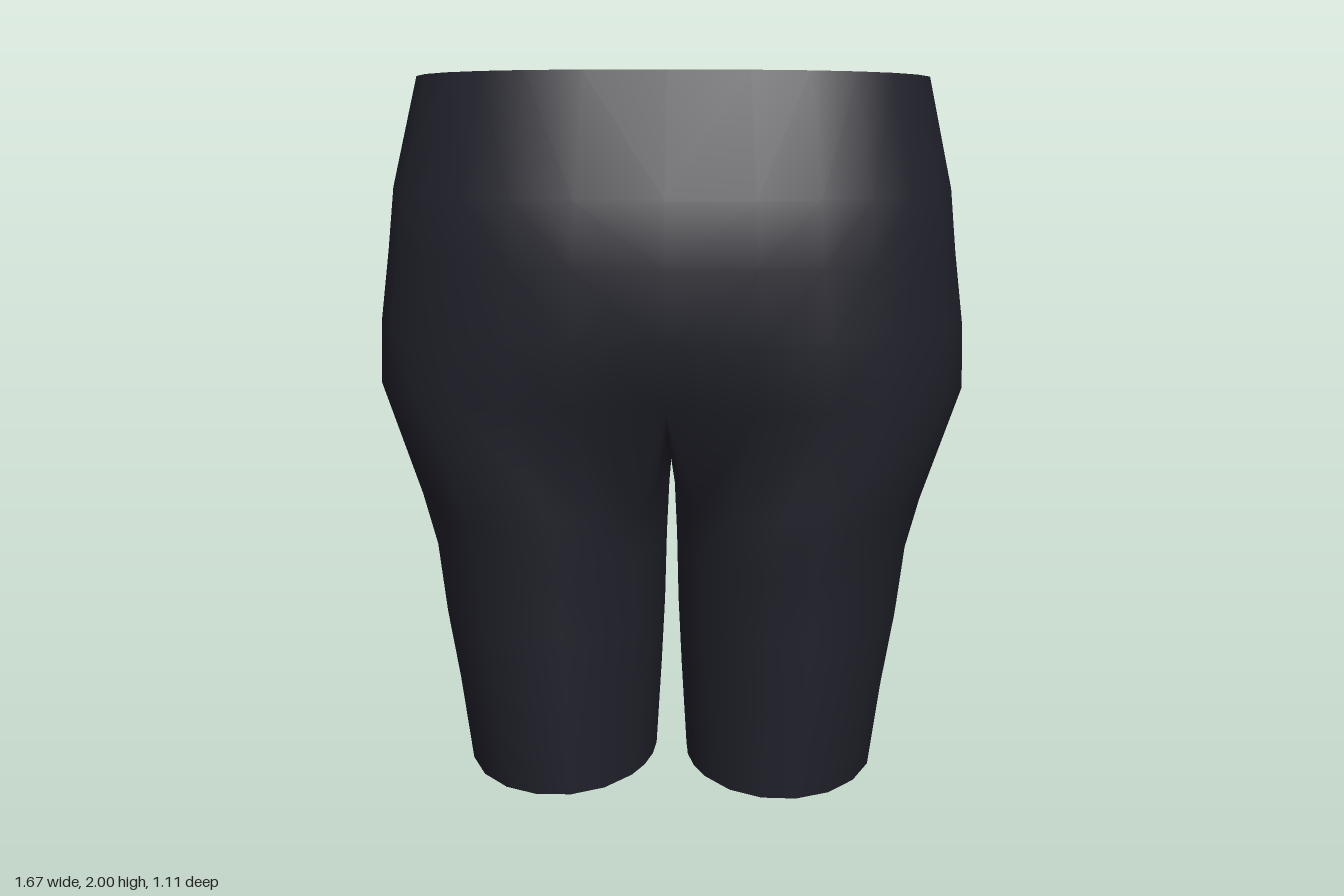
import * as THREE from 'three';
import { mergeVertices } from 'three/addons/utils/BufferGeometryUtils.js';

const ARC = 14, INNER = 6; // segments on the outer arc and on the inner thigh
const spow = (v, p) => Math.sign(v) * Math.pow(Math.abs(v), p);

// Half ring of the hips, from front centre round the side to back centre,
// with a soft groove down the middle of the front and back
function hipArc({ y, w, zf, zb, n, tilt = 0, dip = 0.01, groove = 0 }) {
  const pts = [], zc = (zf + zb) / 2, d = (zf - zb) / 2;
  for (let i = 0; i <= ARC; i++) {
    const t = Math.PI * i / ARC, p = 2 / (i < ARC / 2 ? 2.5 : n);
    const x = (i === 0 || i === ARC) ? 0 : w * spow(Math.sin(t), p);
    const fade = Math.exp(-((x / 0.16) ** 2));
    const z = zc + d * spow(Math.cos(t), p) + fade * (i < ARC / 2 ? -dip : groove);
    pts.push([x, y + tilt * z, z]);
  }
  return pts;
}

// Closed oval ring of one leg, starting at its inner front corner
function legRing({ y, xi, xo, zf, zb }) {
  const pts = [], cx = (xi + xo) / 2, rx = (xo - xi) / 2, zc = (zf + zb) / 2, d = (zf - zb) / 2;
  const a0 = -0.9, a1 = Math.PI + 0.9, a2 = 2 * Math.PI - 0.9;
  for (let i = 0; i < ARC + INNER; i++) {
    const a = i <= ARC ? a0 + (a1 - a0) * i / ARC : a1 + (a2 - a1) * (i - ARC) / INNER;
    pts.push([cx + rx * Math.sin(a), y, zc + d * Math.cos(a)]);
  }
  return pts;
}

export function createModel() {
  const cloth = new THREE.MeshStandardMaterial({ color: 0x20202a, side: THREE.DoubleSide });
  cloth.name = 'darkCloth';
  const group = new THREE.Group();
  group.name = 'shorts';

  const hips = [
    { y: 1.12, w: 0.835, zf: 0.565, zb: -0.495, n: 2.8, dip: 0.07, groove: 0.1 },
    { y: 1.3, w: 0.83, zf: 0.565, zb: -0.51, n: 2.7, dip: 0.015, groove: 0.06 },
    { y: 1.5, w: 0.805, zf: 0.56, zb: -0.525, n: 2.4, groove: 0.025 },
    { y: 1.67, w: 0.79, zf: 0.535, zb: -0.54, n: 2.2 },
    { y: 1.966, w: 0.73, zf: 0.415, zb: -0.56, n: 2.05, tilt: 0.082 },
  ].map(hipArc);
  const legs = [
    { y: 0, xi: 0.045, xo: 0.595, zf: 0.48, zb: -0.29 },
    { y: 0.25, xi: 0.03, xo: 0.63, zf: 0.487, zb: -0.32 },
    { y: 0.45, xi: 0.02, xo: 0.665, zf: 0.49, zb: -0.345 },
    { y: 0.65, xi: 0.015, xo: 0.69, zf: 0.492, zb: -0.37 },
    { y: 0.8, xi: 0.008, xo: 0.73, zf: 0.51, zb: -0.4 },
  ].map(legRing);

  // Top leg ring: the lowest hip arc closed by the crotch arch on the centre line
  const join = hips[0].slice();
  const front = join[0][2], back = join[ARC][2];
  for (let k = 1; k < INNER; k++) {
    const s = k / INNER;
    join.push([0, 1.12 - 0.22 * Math.sin(Math.PI * s), back + (front - back) * s]);
  }
  legs.push(join);

  // Collect triangles for both sides, flipping the order on the mirrored one
  const meshFrom = (name, tris) => {
    const pos = [];
    for (const side of [1, -1]) {
      for (const [a, b, c] of tris) {
        for (const p of side > 0 ? [a, b, c] : [a, c, b]) pos.push(side * p[0], p[1], p[2]);
      }
    }
    let geo = new THREE.BufferGeometry();
    geo.setAttribute('position', new THREE.Float32BufferAttribute(pos, 3));
    geo = mergeVertices(geo, 1e-4);
    geo.computeVertexNormals();
    const mesh = new THREE.Mesh(geo, cloth);
    mesh.name = name;
    group.add(mesh);
  };
  const loft = (rings, closed) => {
    const tris = [];
    for (let r = 0; r + 1 < rings.length; r++) {
      const lo = rings[r], hi = rings[r + 1], m = lo.length;
      for (let i = 0; i < (closed ? m : m - 1); i++) {
        const j = (i + 1) % m;
        tris.push([lo[i], lo[j], hi[j]], [lo[i], hi[j], hi[i]]);
      }
    }
    return tris;
  };

  // Hips and legs as one smooth skin, open at the hems
  meshFrom('hipsAndLegs', [...loft(legs, true), ...loft(hips, false)]);

  // Flat waist lid
  const top = hips[hips.length - 1], middle = [0, 1.966 - 0.082 * 0.075, -0.075];
  meshFrom('waistLid', top.slice(0, -1).map((p, i) => [middle, p, top[i + 1]]));

  return group;
}
